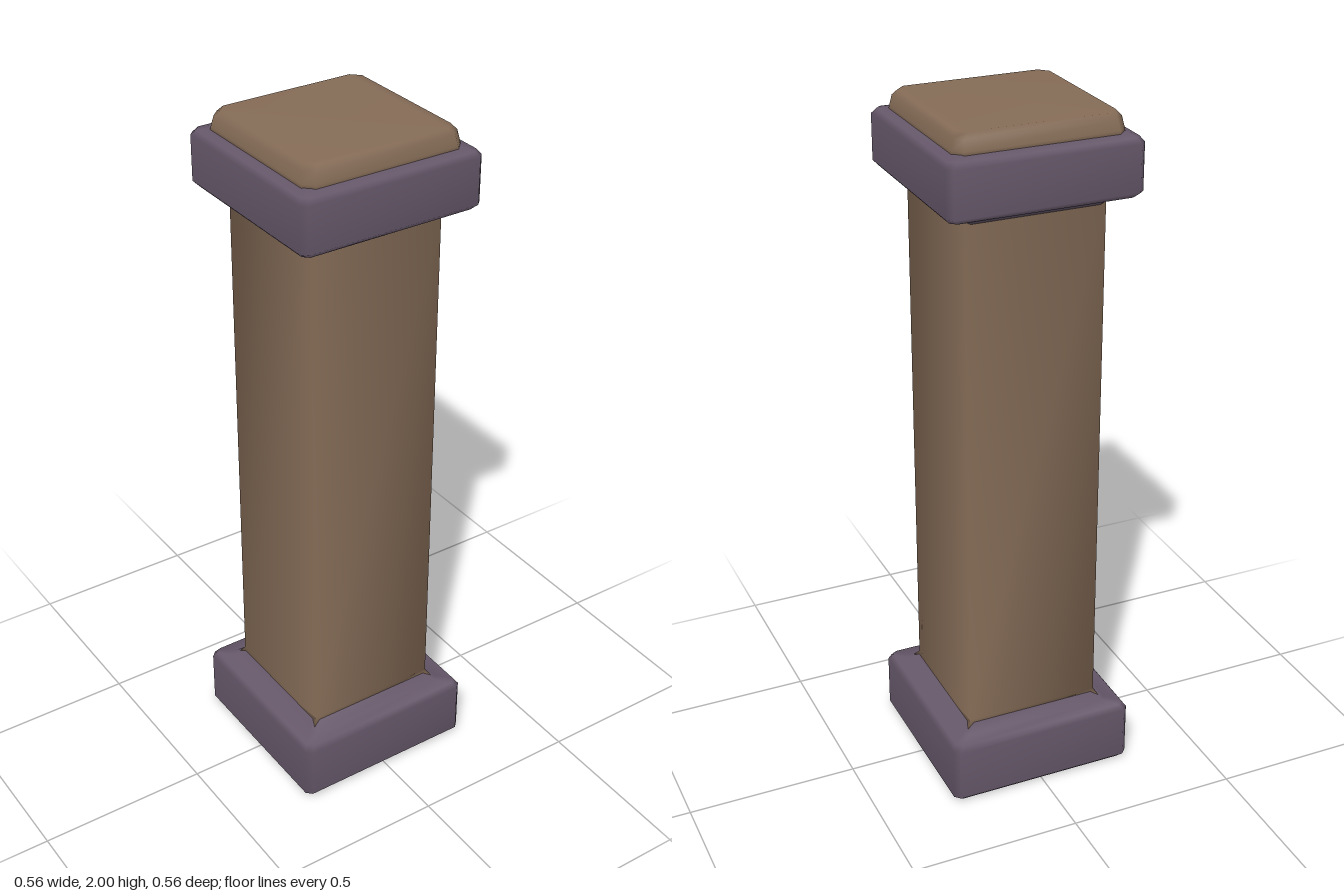
import * as THREE from 'three';

const stone = new THREE.MeshStandardMaterial({ color: 0x846b56 });
stone.name = 'brown stone';
const trim = new THREE.MeshStandardMaterial({ color: 0x655769 });
trim.name = 'purple trim';

// Smooth square loft: each ring is [half width, y]; chamfer cuts the four corners.
function squareLoft(name, rings, chamfer, material) {
  const positions = [], index = [];
  const n = chamfer > 0 ? 8 : 4;
  for (const [h, y] of rings) {
    const corner = chamfer > 0 ? [[h - chamfer, h], [h, h - chamfer]] : [[h, h]];
    for (let k = 0; k < 4; k++) {
      for (const p of corner) {
        positions.push(p[0], y, p[1]);
        [p[0], p[1]] = [p[1], -p[0]]; // quarter turn for the next corner
      }
    }
  }
  for (let r = 0; r < rings.length - 1; r++) {
    for (let i = 0; i < n; i++) {
      const a = r * n + i, b = r * n + (i + 1) % n;
      index.push(a, b, b + n, a, b + n, a + n);
    }
  }
  // Close both ends
  const last = (rings.length - 1) * n;
  for (let i = 1; i < n - 1; i++) {
    index.push(0, i + 1, i);
    index.push(last, last + i, last + i + 1);
  }
  const geometry = new THREE.BufferGeometry();
  geometry.setAttribute('position', new THREE.Float32BufferAttribute(positions, 3));
  geometry.setIndex(index);
  geometry.computeVertexNormals();
  const mesh = new THREE.Mesh(geometry, material);
  mesh.name = name;
  return mesh;
}

export function createModel() {
  const pillar = new THREE.Group();
  pillar.name = 'pillar';
  pillar.add(
    // Foot block with a low collar round the shaft
    squareLoft('base', [
      [0.265, 0], [0.28, 0.015], [0.28, 0.175], [0.268, 0.192], [0.23, 0.194], [0.205, 0.215],
    ], 0.016, trim),
    // Long shaft, flared slightly where it meets the blocks
    squareLoft('shaft', [
      [0.22, 0.19], [0.2, 0.222], [0.2, 1.755], [0.215, 1.79],
    ], 0, stone),
    // Head block with a sloped collar beneath
    squareLoft('capital', [
      [0.2, 1.75], [0.225, 1.778], [0.262, 1.78], [0.276, 1.795], [0.276, 1.925], [0.265, 1.94], [0.235, 1.948],
    ], 0.016, trim),
    // Top slab
    squareLoft('topSlab', [
      [0.243, 1.935], [0.24, 1.955], [0.234, 1.985], [0.222, 2],
    ], 0.025, stone),
  );
  return pillar;
}
